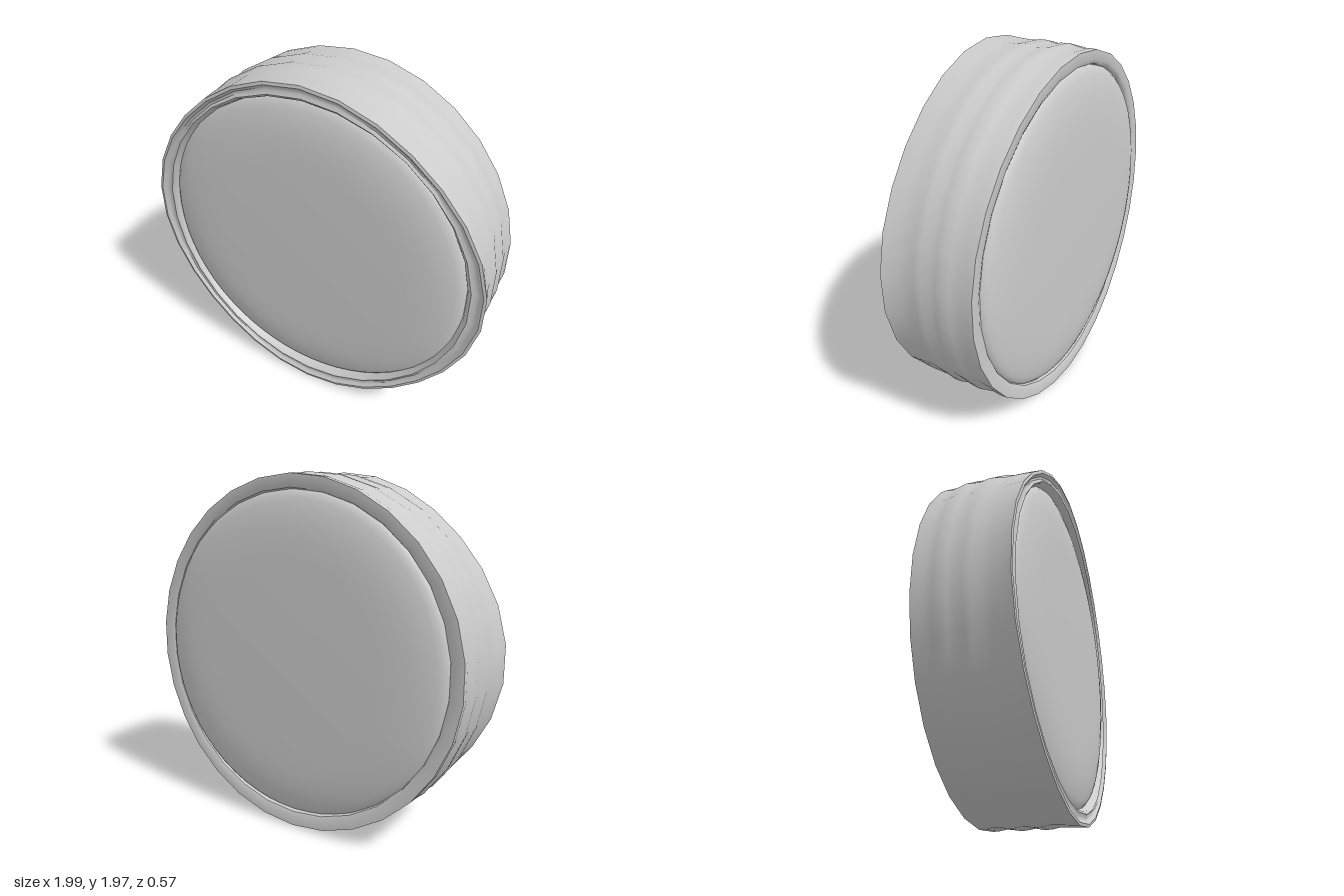
import * as THREE from 'three';
import { mergeVertices, toCreasedNormals } from 'three/addons/utils/BufferGeometryUtils.js';

const CENTER_Y = 0.985;

// Lathe about the z axis, with an optional rule that moves each vertex.
function turned(profile, segments, rule, crease) {
  let geo = new THREE.LatheGeometry(profile.map(([r, z]) => new THREE.Vector2(r, z)), segments);
  geo.rotateX(Math.PI / 2);
  geo.deleteAttribute('uv');
  geo.deleteAttribute('normal');
  geo = mergeVertices(geo, 1e-5);
  if (rule) {
    const p = geo.attributes.position;
    for (let i = 0; i < p.count; i++) {
      const x = p.getX(i), y = p.getY(i), z = p.getZ(i);
      const [r, nz] = rule(Math.hypot(x, y), Math.atan2(y, x), z);
      const a = Math.atan2(y, x);
      p.setXYZ(i, r * Math.cos(a), r * Math.sin(a), nz);
    }
  }
  geo.computeVertexNormals();
  return toCreasedNormals(geo, crease);
}

// Hand-shaped unevenness: edges pull in on the diagonals and dip at the sides.
function warp(r, a, z) {
  const t = z / 0.27;
  const outer = THREE.MathUtils.smoothstep(r, 0.88, 0.95);
  const edge = Math.pow(Math.abs(t), 3) * outer;
  const lobes = t > 0
    ? 0.015 * Math.cos(4 * a) + 0.01 * Math.cos(2 * a)
    : 0.004 * Math.cos(4 * a) - 0.006 * Math.sin(a);
  const tilt = 0.012 * Math.cos(a) * (1 - t * t);
  return [r + edge * lobes, z - 0.013 * t * Math.cos(2 * a) + tilt * outer];
}

export function createModel() {
  const group = new THREE.Group();
  const material = new THREE.MeshStandardMaterial({ color: 0xcccccc, side: THREE.DoubleSide });
  const add = (name, geo) => {
    const mesh = new THREE.Mesh(geo, material);
    mesh.name = name;
    mesh.position.y = CENTER_Y;
    group.add(mesh);
    return mesh;
  };

  // Rippled band with a bevelled back rim and a grooved front rim
  add('band', turned([
    [0.88, -0.2], [0.895, -0.232], [0.915, -0.242], [0.967, -0.242],
    [0.969, -0.21], [0.963, -0.165], [0.971, -0.12], [0.978, -0.085],
    [0.974, -0.045], [0.969, -0.01], [0.979, 0.035], [0.978, 0.075],
    [0.97, 0.12], [0.972, 0.17], [0.975, 0.22], [0.978, 0.268],
    [0.962, 0.271], [0.945, 0.255], [0.93, 0.253], [0.912, 0.262],
    [0.898, 0.25], [0.88, 0.2],
  ], 30, warp, 0.65));

  // Pillowed faces closing both ends
  const face = [
    [0.895, 0.2], [0.89, 0.222], [0.87, 0.24], [0.84, 0.251], [0.79, 0.264],
    [0.72, 0.275], [0.64, 0.281], [0.54, 0.284], [0, 0.284],
  ];
  add('frontFace', turned(face, 60, null, 0.8));
  add('backFace', turned(face, 60, null, 0.8)).rotation.y = Math.PI;

  return group;
}
